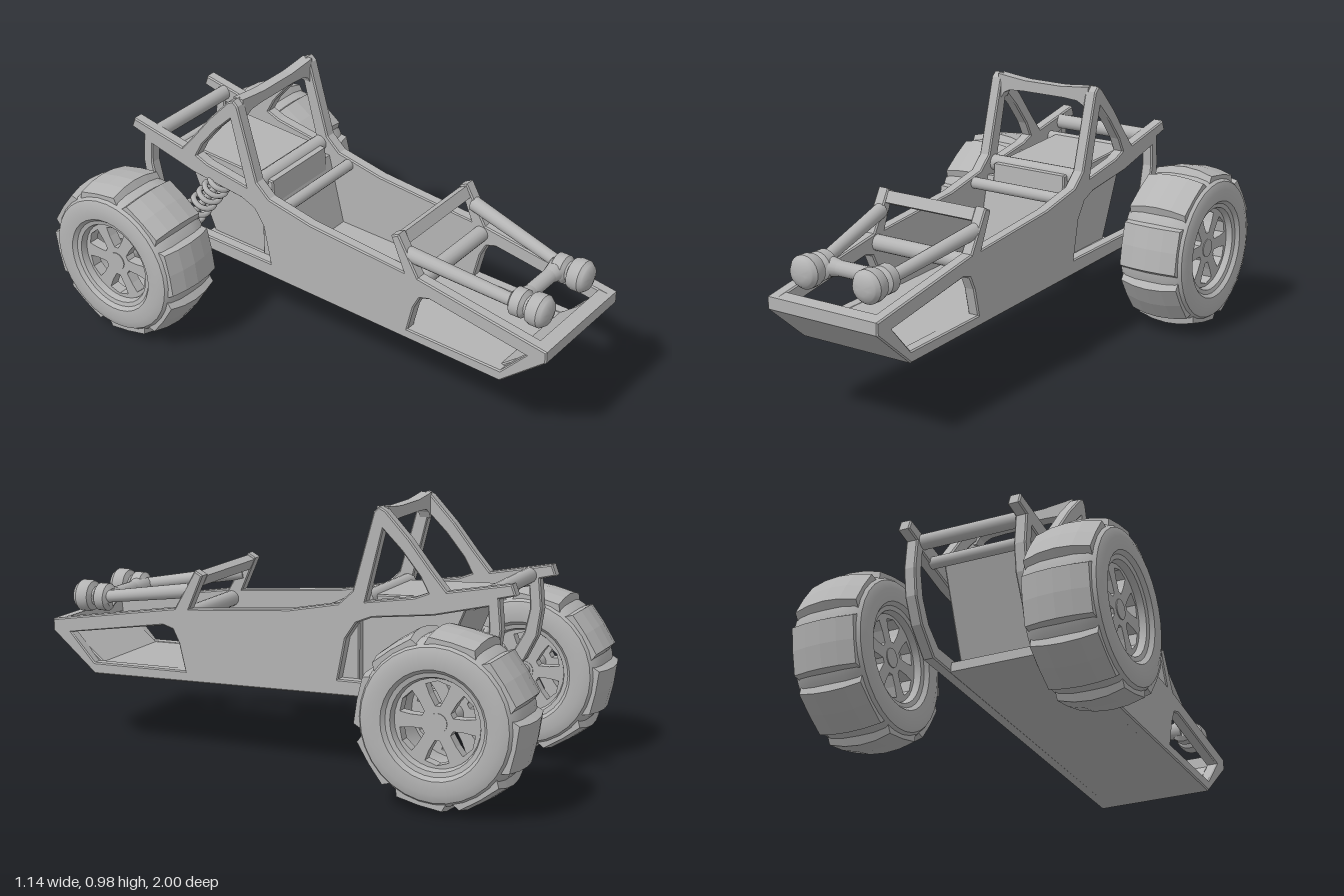
import * as THREE from 'three';
import { toCreasedNormals } from 'three/addons/utils/BufferGeometryUtils.js';

const grey = new THREE.MeshStandardMaterial({ color: 0xb4b4b4 });
grey.name = 'plain grey';

export function createModel() {
  const model = new THREE.Group();
  model.name = 'buggy';

  const add = (name, geometry, parent = model) => {
    const mesh = new THREE.Mesh(geometry, grey);
    mesh.name = name;
    parent.add(mesh);
    return mesh;
  };
  const points = (list) => list.map(([a, b]) => new THREE.Vector2(a, b));

  // Extrudes a (z, y) side profile across x, from x0 to x1
  const sideExtrude = (profile, x0, x1, holes = []) => {
    const b = 0.005;
    const shape = new THREE.Shape(points(profile));
    holes.forEach((h) => shape.holes.push(new THREE.Path(points(h))));
    const g = new THREE.ExtrudeGeometry(shape, {
      depth: x1 - x0 - 2 * b, bevelThickness: b, bevelSize: b, bevelOffset: -b, bevelSegments: 1,
    });
    return g.rotateY(-Math.PI / 2).translate(x1 - b, 0, 0);
  };

  // Round bar between two points
  const bar = (name, from, to, r0, r1 = r0, parent = model) => {
    const a = new THREE.Vector3(...from), c = new THREE.Vector3(...to);
    const dir = c.clone().sub(a);
    const mesh = add(name, new THREE.CylinderGeometry(r1, r0, dir.length(), 16), parent);
    mesh.position.copy(a).add(c).multiplyScalar(0.5);
    mesh.quaternion.setFromUnitVectors(new THREE.Vector3(0, 1, 0), dir.normalize());
    return mesh;
  };

  // Side frames: nose, prong, belt line, roll cage, tail rail and rear loop
  const outline = [
    [1.0, 0.465], [0.47, 0.55], [0.385, 0.697], [0.353, 0.68], [0.41, 0.552], [0, 0.587],
    [-0.19, 0.625], [-0.245, 0.675], [-0.325, 0.96], [-0.345, 0.978], [-0.37, 0.965],
    [-0.46, 0.87], [-0.54, 0.77], [-0.6, 0.7], [-0.835, 0.745], [-0.85, 0.705], [-0.79, 0.69],
    [-0.8, 0.58], [-0.785, 0.48], [-0.74, 0.39], [-0.65, 0.302], [0.82, 0.268], [1.0, 0.42],
  ];
  const noseHole = [[0.92, 0.42], [0.52, 0.482], [0.48, 0.47], [0.455, 0.42], [0.43, 0.318], [0.82, 0.312]];
  const cageHole = [[-0.36, 0.9], [-0.43, 0.83], [-0.5, 0.745], [-0.53, 0.69], [-0.48, 0.67], [-0.295, 0.64]];
  const rearHole = [
    [-0.19, 0.35], [-0.62, 0.355], [-0.69, 0.41], [-0.735, 0.49], [-0.755, 0.58], [-0.75, 0.66],
    [-0.55, 0.612], [-0.32, 0.585], [-0.26, 0.56], [-0.22, 0.5],
  ];
  add('leftSideFrame', sideExtrude(outline, 0.187, 0.232, [noseHole, cageHole, rearHole]));
  add('rightSideFrame', sideExtrude(outline, -0.232, -0.187, [noseHole, cageHole, rearHole]));

  // Panels and square cross members spanning the frame
  const panel = (name, profile, half = 0.192) => add(name, sideExtrude(profile, -half, half));
  panel('floor', [[0.82, 0.268], [0.8, 0.31], [-0.53, 0.335], [-0.53, 0.3]], 0.197);
  panel('nosePlate', [[1.0, 0.42], [1.0, 0.465], [0.95, 0.472], [0.945, 0.425], [0.8, 0.31], [0.82, 0.268]], 0.197);
  panel('seatBack', [[-0.165, 0.31], [-0.235, 0.6], [-0.255, 0.6], [-0.255, 0.31]]);
  panel('rearBox', [[-0.21, 0.31], [-0.23, 0.65], [-0.66, 0.67], [-0.51, 0.31]], 0.158);
  panel('prongBar', [[0.385, 0.69], [0.355, 0.675], [0.375, 0.635], [0.405, 0.65]]);

  // Arched top of the roll hoop with filleted corners
  const arch = [[0.2, 0.976], [0.15, 0.97], [0.08, 0.963]];
  const underside = [[0.09, 0.922], [0.15, 0.918], [0.175, 0.905], [0.188, 0.882], [0.2, 0.882]];
  const flip = (list) => list.map(([x, y]) => [-x, y]).reverse();
  add('rollHoopTop', new THREE.ExtrudeGeometry(
    new THREE.Shape(points([...arch, ...flip(arch), ...flip(underside), ...underside])),
    { depth: 0.042, bevelEnabled: false }).translate(0, 0, -0.366));

  // Round cross tubes
  for (const [name, y, z, r] of [
    ['beltTube', 0.64, -0.28, 0.03], ['seatTube', 0.59, -0.145, 0.022], ['boxTube', 0.655, -0.675, 0.022],
    ['tailTube', 0.7, -0.75, 0.028], ['noseTube', 0.515, 0.455, 0.03],
  ]) bar(name, [-0.195, y, z], [0.195, y, z], r);

  // Headlights on tapered arms
  const lampProfile = points([
    [0, 0], [0.035, 0], [0.052, 0.012], [0.052, 0.05], [0.036, 0.062], [0.036, 0.07],
    [0.056, 0.08], [0.06, 0.095], [0.06, 0.125], [0.05, 0.138], [0.046, 0.143], [0.025, 0.15], [0, 0.152],
  ]);
  for (const s of [-1, 1]) {
    const lamp = toCreasedNormals(new THREE.LatheGeometry(lampProfile, 24).rotateX(Math.PI / 2), 0.6);
    add('headlight', lamp).position.set(s * 0.132, 0.546, 0.798);
    bar('headlightArm', [s * 0.145, 0.55, 0.815], [s * 0.205, 0.618, 0.41], 0.023, 0.028);
    // flared halves of the link between the lights
    bar('headlightLink', [s * 0.13, 0.546, 0.822], [s * 0.06, 0.546, 0.822], 0.042, 0.028);
  }
  bar('headlightLinkCentre', [-0.06, 0.546, 0.822], [0.06, 0.546, 0.822], 0.028);

  // Rear wheels: tyre, eight tread blocks and six-spoke rim faces
  const tyreProfile = points([
    [0.155, -0.1], [0.162, -0.118], [0.178, -0.122], [0.19, -0.136], [0.235, -0.141], [0.265, -0.13],
    [0.28, -0.108], [0.289, -0.06], [0.291, 0], [0.289, 0.06], [0.28, 0.108], [0.265, 0.13],
    [0.235, 0.141], [0.19, 0.136], [0.178, 0.122], [0.162, 0.118], [0.155, 0.1], [0.155, -0.1],
  ]);
  const treadBlock = () => {
    const g = new THREE.ExtrudeGeometry(
      new THREE.Shape(points([[-0.1, 0.255], [0.1, 0.255], [0.083, 0.304], [0, 0.308], [-0.083, 0.304]])),
      { depth: 0.236, steps: 4, bevelEnabled: false });
    g.rotateY(-Math.PI / 2).translate(0.118, 0, 0);
    // crown the block so its ends sit lower than its middle
    const p = g.attributes.position;
    for (let i = 0; i < p.count; i++) p.setY(i, p.getY(i) - 0.02 * (p.getX(i) / 0.118) ** 2);
    g.computeVertexNormals();
    return g;
  };
  const rimShape = new THREE.Shape().absarc(0, 0, 0.16, 0, Math.PI * 2);
  for (let k = 0; k < 6; k++) {
    const mid = (k + 0.5) * Math.PI / 3;
    const at = (r, a) => [r * Math.cos(mid + a), r * Math.sin(mid + a)];
    rimShape.holes.push(new THREE.Path(points([
      at(0.06, -0.15), at(0.1, -0.3), at(0.138, -0.32), at(0.145, 0), at(0.138, 0.32), at(0.1, 0.3), at(0.06, 0.15),
    ])));
  }
  for (const s of [-1, 1]) {
    const wheel = new THREE.Group();
    wheel.name = s > 0 ? 'leftWheel' : 'rightWheel';
    wheel.position.set(s * 0.427, 0.315, -0.688);
    add('tyre', toCreasedNormals(new THREE.LatheGeometry(tyreProfile, 32).rotateZ(-Math.PI / 2), 0.5), wheel);
    for (let k = 0; k < 8; k++) {
      add('treadBlock', treadBlock(), wheel).rotation.x = THREE.MathUtils.degToRad(79 + 45 * k);
    }
    for (const side of [-1, 1]) {
      const rim = new THREE.ExtrudeGeometry(rimShape, { depth: 0.04, bevelEnabled: false, curveSegments: 32 });
      add('rimFace', rim.translate(0, 0, -0.02).rotateY(Math.PI / 2), wheel).position.x = side * 0.075;
    }
    bar('hub', [-0.098, 0, 0], [0.098, 0, 0], 0.035, 0.035, wheel);
    model.add(wheel);
  }

  // Coil spring and arm on the right side
  const top = new THREE.Vector3(-0.195, 0.615, -0.43), foot = new THREE.Vector3(-0.255, 0.32, -0.635);
  const axis = foot.clone().sub(top).normalize();
  const u = new THREE.Vector3(1, 0, 0).cross(axis).normalize(), v = axis.clone().cross(u);
  const coil = [];
  for (let i = 0; i <= 128; i++) {
    const a = i / 128 * 9 * Math.PI * 2;
    coil.push(top.clone().lerp(foot, i / 128).addScaledVector(u, 0.04 * Math.cos(a)).addScaledVector(v, 0.04 * Math.sin(a)));
  }
  add('spring', new THREE.TubeGeometry(new THREE.CatmullRomCurve3(coil), 260, 0.011, 7));
  bar('springRod', top.toArray(), foot.toArray(), 0.014);
  bar('wheelArm', [-0.2, 0.33, -0.58], [-0.3, 0.318, -0.68], 0.022);
  bar('axle', [-0.27, 0.315, -0.688], [-0.35, 0.315, -0.688], 0.025);

  return model;
}
